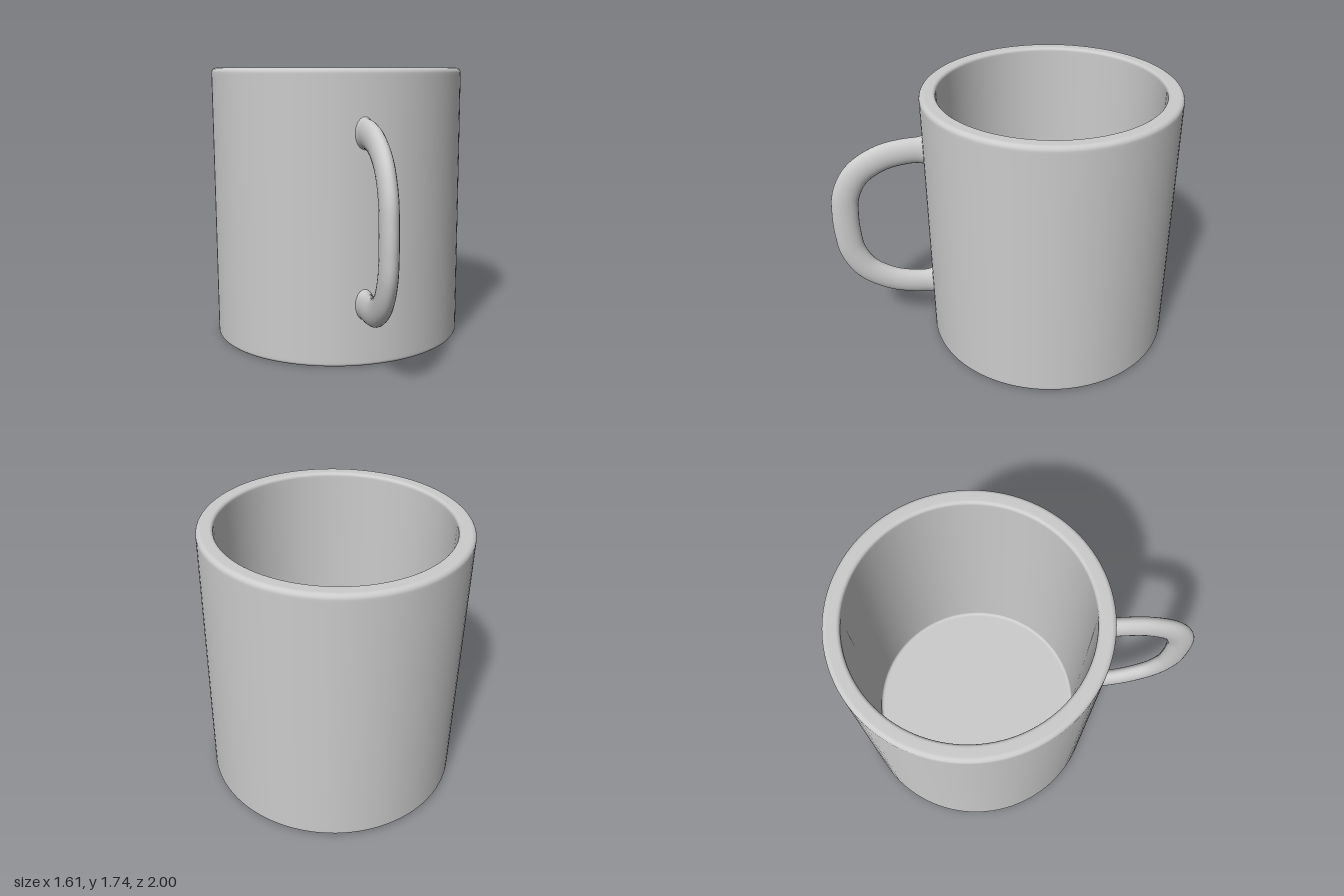
import * as THREE from 'three';
import { mergeVertices } from 'three/addons/utils/BufferGeometryUtils.js';

const HEIGHT = 1.74, OUTER = 0.805, INNER = 0.705, FLOOR = 0.1;

// Quarter-circle fillet, listed as points from one angle to another
function fillet(cx, cy, r, from, to, steps = 6) {
  return Array.from({ length: steps + 1 }, (_, i) => {
    const a = THREE.MathUtils.degToRad(from + (to - from) * i / steps);
    return new THREE.Vector2(cx + r * Math.cos(a), cy + r * Math.sin(a));
  });
}

// Hollow cup: one closed profile from the base, over the rim, to the inner floor
function cupGeometry() {
  const profile = [
    new THREE.Vector2(0, 0),
    new THREE.Vector2(OUTER - 0.03, 0),
    ...fillet(OUTER - 0.022, 0.022, 0.022, -90, 0),
    new THREE.Vector2(OUTER, 0.04),
    new THREE.Vector2(OUTER, HEIGHT - 0.045),
    ...fillet(OUTER - 0.03, HEIGHT - 0.03, 0.03, 0, 90),
    new THREE.Vector2(INNER + 0.03, HEIGHT),
    ...fillet(INNER + 0.02, HEIGHT - 0.02, 0.02, 90, 180),
    new THREE.Vector2(INNER, HEIGHT - 0.035),
    new THREE.Vector2(INNER, FLOOR + 0.035),
    ...fillet(INNER - 0.02, FLOOR + 0.02, 0.02, 0, -90),
    new THREE.Vector2(INNER - 0.035, FLOOR),
    new THREE.Vector2(0, FLOOR),
  ];
  return new THREE.LatheGeometry(profile, 96);
}

// Round tube along a C-shaped path, flared where it meets the cup
function handleGeometry() {
  const midY = 0.877, rings = 96, sides = 24;
  const half = [[0.75, 0.5], [0.92, 0.495], [1.08, 0.455], [1.23, 0.355], [1.31, 0.21], [1.329, 0.07]];
  const points = [...half, ...half.map(([r, y]) => [r, -y]).reverse()];
  const path = new THREE.CatmullRomCurve3(points.map(([r, y]) => new THREE.Vector3(r, midY + y, 0)));
  const tube = new THREE.TubeGeometry(path, rings, 0.085, sides);
  const pos = tube.attributes.position, v = new THREE.Vector3();
  for (let i = 0; i < pos.count; i++) {
    const centre = path.getPointAt(Math.floor(i / (sides + 1)) / rings);
    const near = THREE.MathUtils.clamp((0.86 - centre.x) / 0.07, 0, 1);
    v.fromBufferAttribute(pos, i).sub(centre).multiplyScalar(1 + 0.16 * near * near).add(centre);
    pos.setXYZ(i, v.x, v.y, v.z);
  }
  tube.deleteAttribute('uv');
  tube.deleteAttribute('normal');
  const smooth = mergeVertices(tube);
  smooth.computeVertexNormals();
  return smooth;
}

export function createModel() {
  const model = new THREE.Group();
  model.name = 'mug';
  const material = new THREE.MeshStandardMaterial({ color: 0xcccccc });

  const cup = new THREE.Mesh(cupGeometry(), material);
  cup.name = 'cup';

  // Handle is flattened sideways and turned towards the front right
  const handle = new THREE.Mesh(handleGeometry(), material);
  handle.name = 'handle';
  handle.scale.z = 0.6;
  handle.rotation.y = -2.143;

  model.add(cup, handle);
  model.children.forEach((part) => { part.position.z = -0.195; });
  return model;
}
